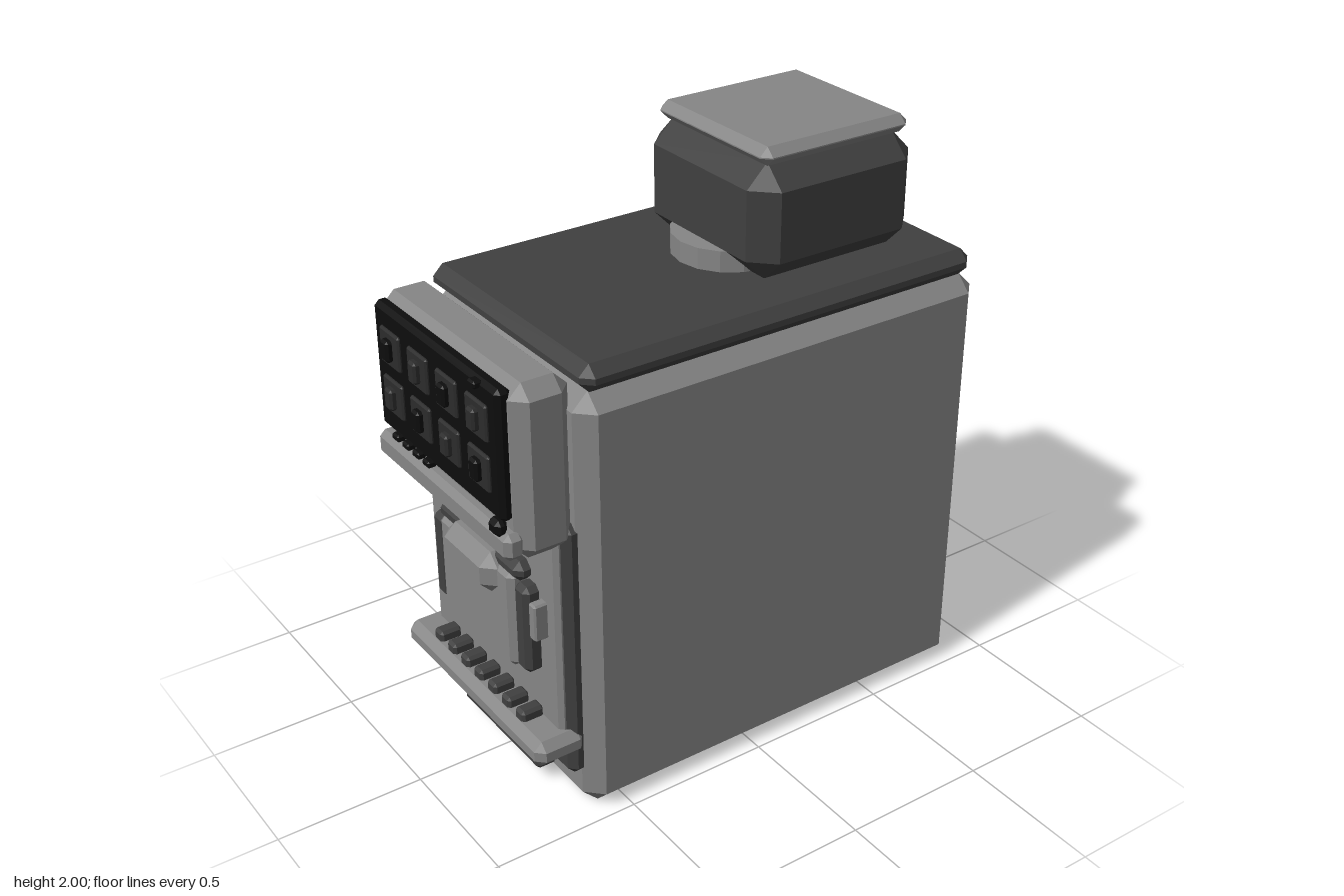
import * as THREE from 'three';
import { ConvexGeometry } from 'three/addons/geometries/ConvexGeometry.js';

const mat = (name, color) => {
  const m = new THREE.MeshStandardMaterial({ color });
  m.name = name;
  return m;
};

// Box with every edge cut at 45 degrees, given by its min/max extents
function chamferBox([x0, x1], [y0, y1], [z0, z1], c) {
  const h = [(x1 - x0) / 2, (y1 - y0) / 2, (z1 - z0) / 2];
  const pts = [];
  for (const sx of [-1, 1]) for (const sy of [-1, 1]) for (const sz of [-1, 1]) {
    for (let axis = 0; axis < 3; axis++) {
      const d = h.map((v, i) => (i === axis ? v : v - c));
      pts.push(new THREE.Vector3(d[0] * sx, d[1] * sy, d[2] * sz));
    }
  }
  const g = new ConvexGeometry(pts);
  g.translate((x0 + x1) / 2, (y0 + y1) / 2, (z0 + z1) / 2);
  return g;
}

export function createModel() {
  const steel = mat('steel grey', 0x868686);
  const dark = mat('dark grey', 0x404040);
  const black = mat('black', 0x0d0d0d);
  const button = mat('button grey', 0x2c2c2c);

  const model = new THREE.Group();
  model.name = 'coffeeMachine';
  const box = (name, material, x, y, z, c) => {
    const m = new THREE.Mesh(chamferBox(x, y, z, c), material);
    m.name = name;
    model.add(m);
  };
  const around = (v, half) => [v - half, v + half];

  // Housing and lid
  box('body', steel, [-0.465, 0.465], [0, 1.48], [-0.885, 0.635], 0.055);
  box('lid', dark, [-0.455, 0.455], [1.48, 1.57], [-0.855, 0.615], 0.035);

  // Bean hopper with its cap and the round collar in front
  box('hopper', dark, [-0.317, 0.317], [1.565, 1.945], [-0.735, -0.1], 0.075);
  box('hopperCap', steel, [-0.285, 0.285], [1.94, 2], [-0.705, -0.135], 0.028);
  const collar = new THREE.Mesh(
    new THREE.CylinderGeometry(0.19, 0.19, 0.1, 16).toNonIndexed(), steel);
  collar.geometry.computeVertexNormals();
  collar.name = 'collar';
  collar.position.set(0, 1.59, -0.22);
  model.add(collar);

  // Front frame and panel
  box('frontFrame', dark, [-0.415, 0.415], [0.13, 1.05], [0.6, 0.675], 0.025);
  box('frontPanel', steel, [-0.39, 0.39], [0.2, 1.04], [0.6, 0.695], 0.015);

  // Head with lower ledge
  box('head', steel, [-0.42, 0.42], [0.975, 1.55], [0.625, 0.82], 0.045);
  box('ledge', steel, [-0.4, 0.4], [0.99, 1.08], [0.79, 0.86], 0.02);

  // Control panel: two rows of buttons with raised symbols
  box('controlPanel', black, [-0.37, 0.37], [1.11, 1.54], [0.8, 0.852], 0.015);
  for (let row = 0; row < 2; row++) {
    const y = row ? 1.25 : 1.415;
    for (let i = 0; i < 4; i++) {
      const x = -0.26 + i * 0.173;
      box('button', button, around(x, 0.06), around(y, 0.06), [0.84, 0.862], 0.006);
      box('buttonSymbol', (row + i) % 2 ? button : black,
        around(x, 0.022), around(y, 0.036), [0.85, 0.882], 0.008);
    }
  }
  for (let i = 0; i < 4; i++) {
    box('indicator', black, around(-0.25 + i * 0.065, 0.02), around(1.118, 0.012), [0.84, 0.872], 0.006);
  }
  box('topIndicator', black, around(0.26, 0.02), around(1.525, 0.012), [0.84, 0.872], 0.006);
  box('knob', black, [0.31, 0.37], [1.065, 1.12], [0.83, 0.872], 0.015);

  // Brewing unit, framed by dark rails, with the spout on top
  box('brewUnit', steel, [-0.22, 0.22], [0.47, 0.82], [0.67, 0.757], 0.02);
  for (const s of [-1, 1]) {
    box('sideRail', dark, around(s * 0.253, 0.037), [0.48, 0.795], [0.67, 0.745], 0.018);
  }
  box('topRail', dark, [-0.248, 0.248], [0.79, 0.86], [0.67, 0.745], 0.025);
  box('spout', steel, [-0.15, 0.15], [0.7, 0.845], [0.68, 0.797], 0.042);
  box('lever', steel, [0.298, 0.335], [0.63, 0.76], [0.68, 0.74], 0.006);
  box('slot', black, [-0.075, 0.07], [0.442, 0.462], [0.68, 0.705], 0.006);

  // Drip tray, its grate pegs and the base below
  box('dripTray', steel, [-0.428, 0.428], [0.22, 0.31], [0.62, 0.8], 0.028);
  for (let i = 0; i < 7; i++) {
    box('gratePeg', dark, around((i - 3) * 0.087, 0.026), [0.295, 0.345], [0.69, 0.77], 0.01);
  }
  box('trayBase', dark, [-0.24, 0.24], [0.05, 0.24], [0.62, 0.695], 0.014);

  return model;
}
